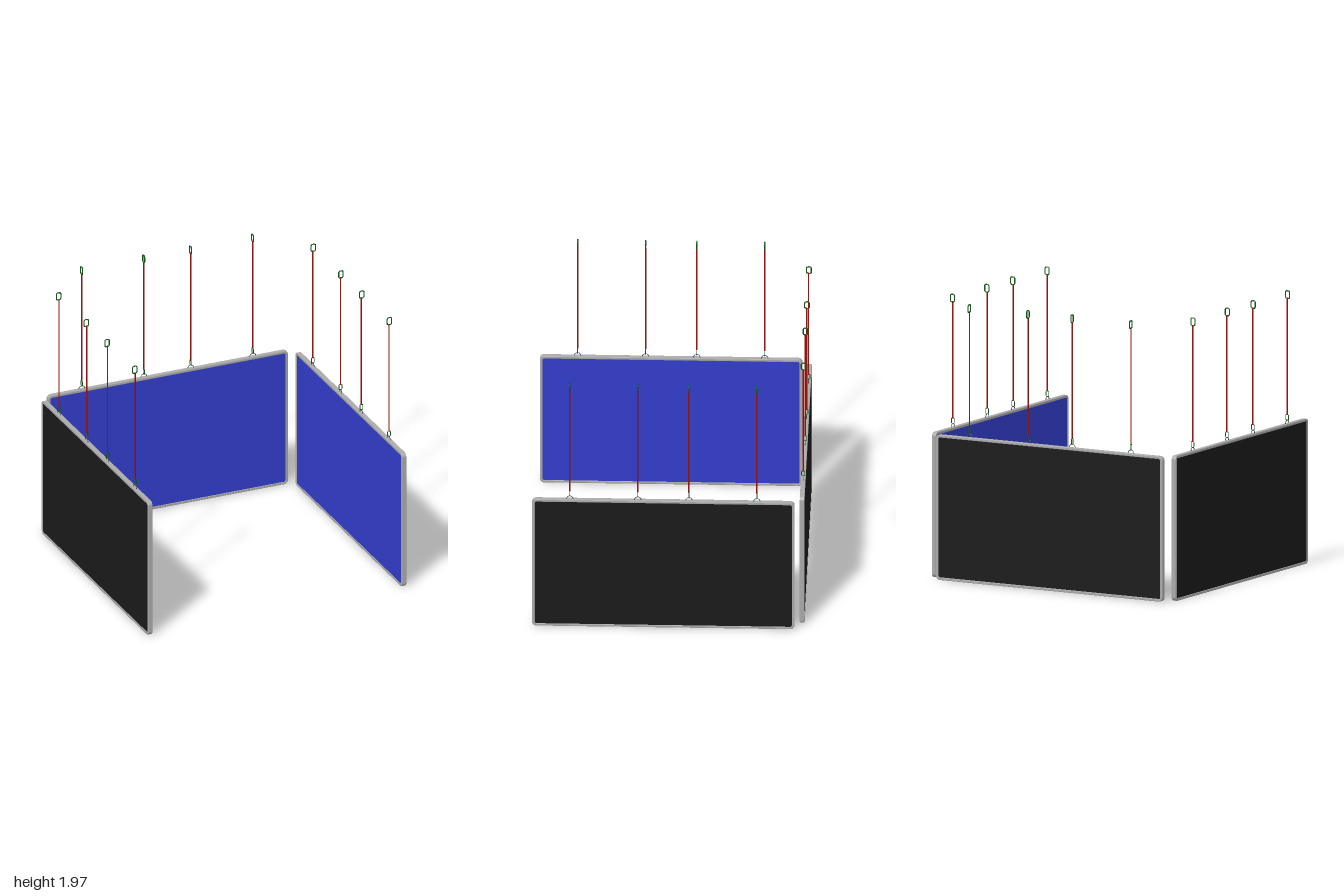
import * as THREE from 'three';

const W = 1.836, H = 1.03, D = 0.034, BORDER = 0.016;
const paint = (color) => new THREE.MeshStandardMaterial({ color });
const MAT = {
  frame: paint(0xaaaaaa), blue: paint(0x333dcc), black: paint(0x1a1a1a),
  rope: paint(0x9c1008), link: paint(0x0d5a14), eye: paint(0x444444),
};

function add(parent, name, geometry, material, x = 0, y = 0, z = 0) {
  const mesh = new THREE.Mesh(geometry, material);
  mesh.name = name;
  mesh.position.set(x, y, z);
  parent.add(mesh);
  return mesh;
}

// Rounded rectangle centred on the origin
function roundedRect(w, h, r, target = new THREE.Shape()) {
  const x = w / 2, y = h / 2;
  target.moveTo(-x + r, -y);
  target.lineTo(x - r, -y);
  target.absarc(x - r, -y + r, r, -Math.PI / 2, 0);
  target.lineTo(x, y - r);
  target.absarc(x - r, y - r, r, 0, Math.PI / 2);
  target.lineTo(-x + r, y);
  target.absarc(-x + r, y - r, r, Math.PI / 2, Math.PI);
  target.lineTo(-x, -y + r);
  target.absarc(-x + r, -y + r, r, Math.PI, Math.PI * 1.5);
  return target;
}

// Closed rounded-rectangle loop of wire, standing in the YZ plane
function linkGeometry(w, h, r, wire) {
  const points = roundedRect(w - 2 * wire, h - 2 * wire, r).getPoints(5)
    .map((p) => new THREE.Vector3(0, p.y, p.x));
  const path = new THREE.CurvePath();
  points.forEach((p, i) => {
    const next = points[(i + 1) % points.length];
    if (p.distanceTo(next) > 1e-6) path.add(new THREE.LineCurve3(p, next));
  });
  return new THREE.TubeGeometry(path, 40, wire, 6, true);
}

function frameGeometry() {
  const bevel = 0.004;
  const shape = roundedRect(W - 2 * bevel, H - 2 * bevel, 0.026);
  shape.holes.push(roundedRect(W - 2 * BORDER, H - 2 * BORDER, 0.016, new THREE.Path()));
  const geometry = new THREE.ExtrudeGeometry(shape, {
    depth: D - 2 * bevel, bevelThickness: bevel, bevelSize: bevel, bevelSegments: 2, curveSegments: 6,
  });
  return geometry.translate(0, 0, -D / 2 + bevel);
}

const GEO = {
  frame: frameGeometry(),
  screen: new THREE.ExtrudeGeometry(roundedRect(W - 2 * BORDER, H - 2 * BORDER, 0.016),
    { depth: D / 2 - 0.003, bevelEnabled: false, curveSegments: 6 }),
  rope: new THREE.CylinderGeometry(0.005, 0.005, 0.83, 8),
  topLink: linkGeometry(0.043, 0.063, 0.012, 0.0045),
  bottomLink: linkGeometry(0.028, 0.047, 0.008, 0.003),
  eye: new THREE.TorusGeometry(0.023, 0.0025, 6, 16, Math.PI),
};

// Suspension line: eye on the panel, lower link, rope, upper link
function createHanger(x) {
  const hanger = new THREE.Group();
  hanger.name = 'hanger';
  hanger.position.set(x, 0, 0);
  add(hanger, 'eyeRing', GEO.eye, MAT.eye, 0, H, 0);
  add(hanger, 'bottomLink', GEO.bottomLink, MAT.link, 0, 1.073, 0);
  add(hanger, 'rope', GEO.rope, MAT.rope, 0, 1.505, 0);
  add(hanger, 'topLink', GEO.topLink, MAT.link, 0, 1.943, -0.003);
  return hanger;
}

// Panel with blue inner face (+z) and black outer face
function createPanel(name) {
  const panel = new THREE.Group();
  panel.name = name;
  add(panel, 'frame', GEO.frame, MAT.frame, 0, H / 2, 0);
  add(panel, 'innerFace', GEO.screen, MAT.blue, 0, H / 2, 0);
  add(panel, 'outerFace', GEO.screen, MAT.black, 0, H / 2, 0).rotation.y = Math.PI;
  for (const x of [-0.654, -0.179, 0.179, 0.654]) panel.add(createHanger(x));
  return panel;
}

export function createModel() {
  const model = new THREE.Group();
  model.name = 'hangingPanels';
  const back = createPanel('backPanel');
  back.position.set(-0.003, 0, -0.932);
  model.add(back);
  for (const side of [-1, 1]) {
    const panel = createPanel(side > 0 ? 'leftPanel' : 'rightPanel');
    panel.position.set(side * 0.971, 0, 0.037);
    panel.rotation.y = -side * Math.PI / 2;
    model.add(panel);
  }
  return model;
}
